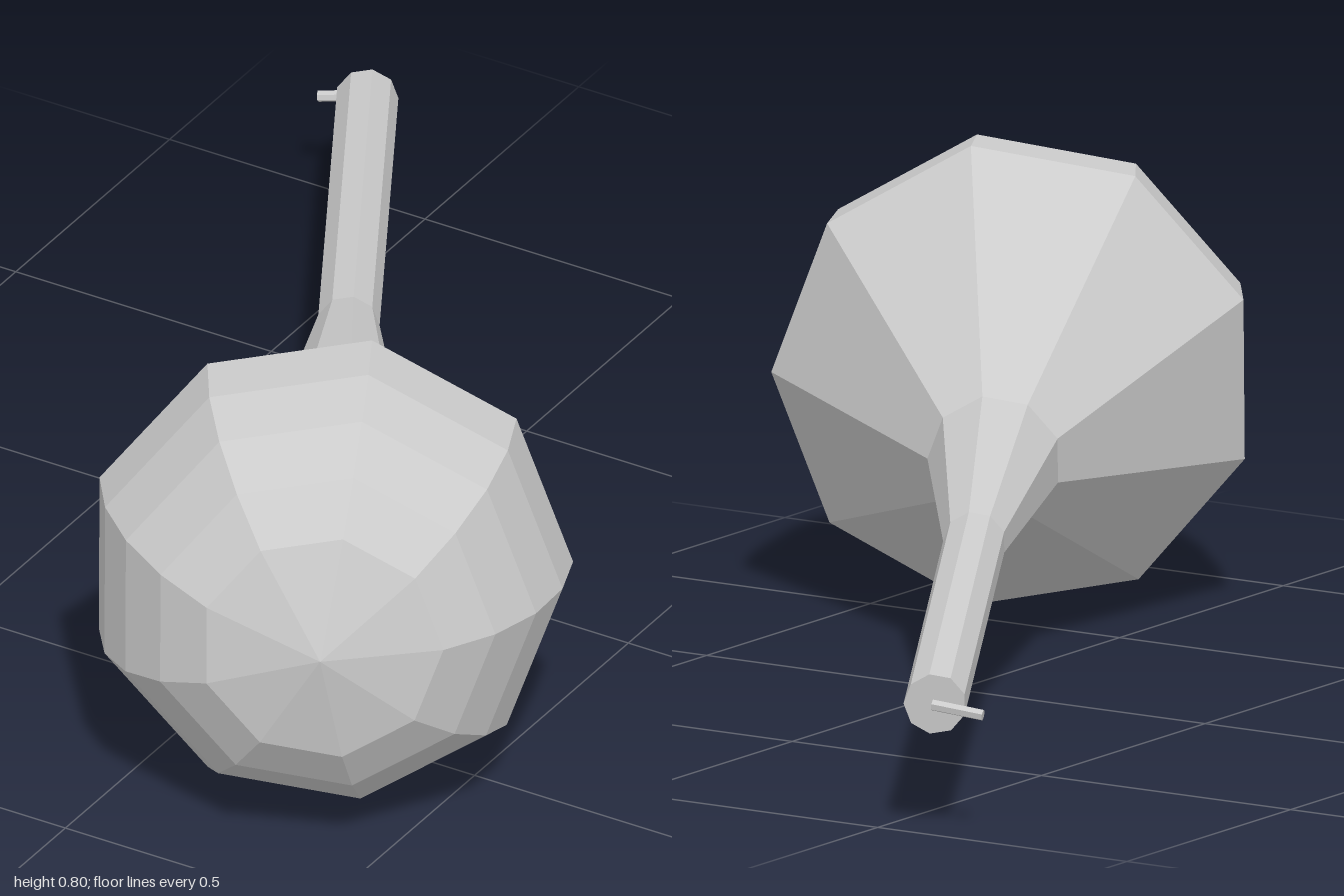
import * as THREE from 'three';

const SIDES = 9;
const material = new THREE.MeshStandardMaterial({ color: 0xcccccc, flatShading: true });

// Faceted solid of revolution from [radius, height] pairs
function turned(name, profile) {
  const points = profile.map(([r, h]) => new THREE.Vector2(r, h));
  const mesh = new THREE.Mesh(new THREE.LatheGeometry(points, SIDES), material);
  mesh.name = name;
  return mesh;
}

export function createModel() {
  const model = new THREE.Group();
  model.name = 'club';

  // Everything is turned around one slanted axis, from handle end to bulb tip
  const start = new THREE.Vector3(-0.6, 0.225, -0.977);
  const axis = new THREE.Vector3(1.07, 0.225, 1.93).normalize();
  const side = new THREE.Vector3(axis.z, 0, -axis.x).normalize();
  const across = new THREE.Vector3().crossVectors(axis, side);
  const body = new THREE.Group();
  body.name = 'body';
  body.quaternion.setFromRotationMatrix(new THREE.Matrix4().makeBasis(across, axis, side));
  body.position.copy(start);
  model.add(body);

  // Slim handle with a capped end, flaring into the neck
  body.add(turned('handle', [[0, 0], [0.053, 0], [0.053, 0.89], [0.113, 1.34]]));

  // Cone-backed bulb with a rounded front
  const radius = 0.41, base = 1.8;
  const bulb = [[0.113, 1.34]];
  for (const degrees of [0, 15, 30, 45, 60]) {
    const a = THREE.MathUtils.degToRad(degrees);
    bulb.push([radius * Math.cos(a), base + radius * Math.sin(a)]);
  }
  bulb.push([0, base + radius]);
  body.add(turned('bulb', bulb));

  // Small peg sticking out sideways at the handle end
  const pegFrom = new THREE.Vector3(-0.6, 0.225, -0.985);
  const pegTo = new THREE.Vector3(-0.683, 0.212, -0.957);
  const pegLine = pegTo.clone().sub(pegFrom);
  const peg = new THREE.Mesh(new THREE.CylinderGeometry(0.01, 0.01, pegLine.length(), 6), material);
  peg.name = 'peg';
  peg.position.copy(pegFrom).add(pegTo).multiplyScalar(0.5);
  peg.quaternion.setFromUnitVectors(new THREE.Vector3(0, 1, 0), pegLine.normalize());
  model.add(peg);

  return model;
}
